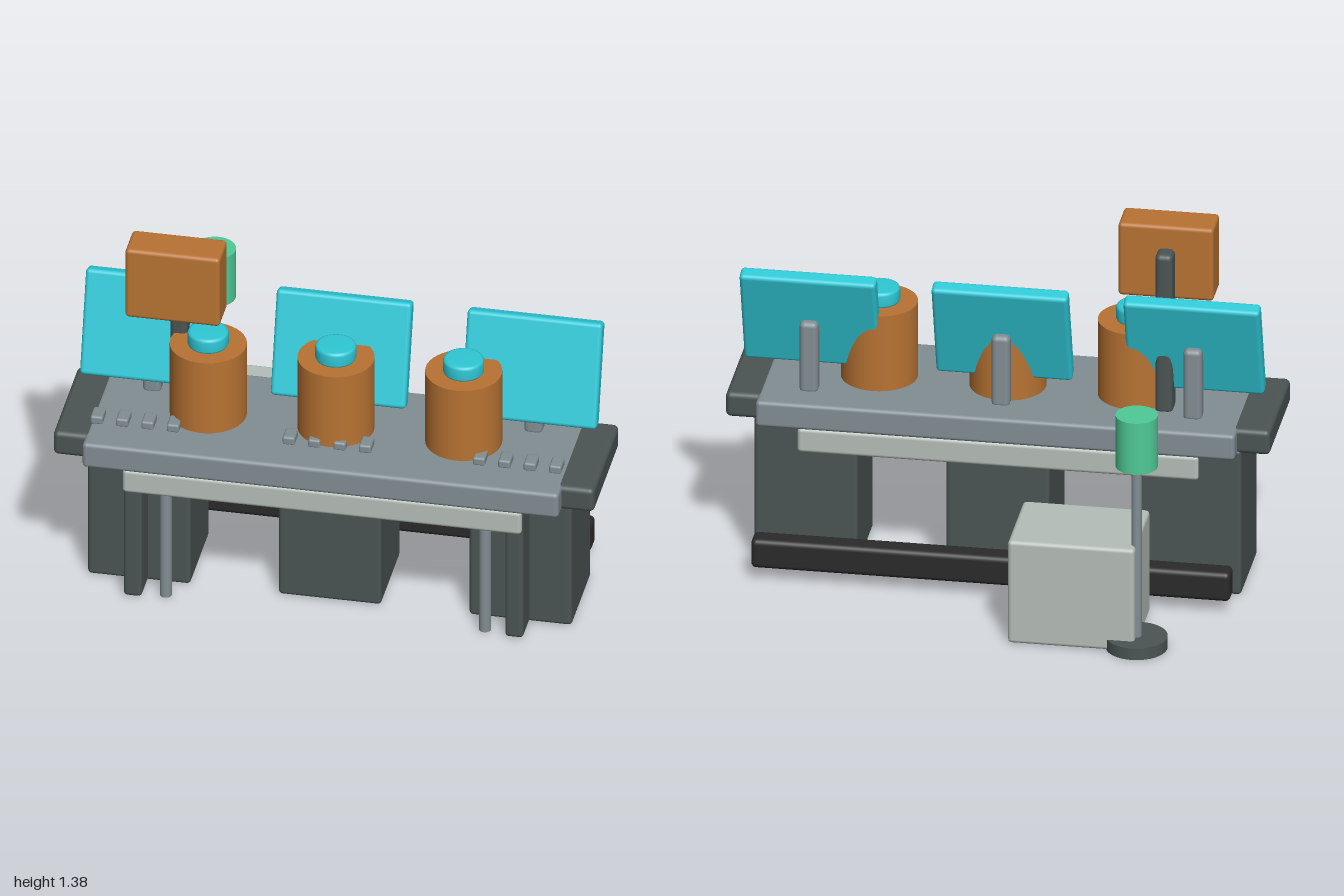
import * as THREE from 'three';
import { RoundedBoxGeometry } from 'three/addons/geometries/RoundedBoxGeometry.js';

const mat = (name, color) => Object.assign(new THREE.MeshStandardMaterial({ color }), { name });

export function createModel() {
  const model = new THREE.Group();
  model.name = 'controlDesk';

  const steel = mat('steel grey', 0x828e93);
  const dark = mat('dark grey', 0x4b5454);
  const pale = mat('pale grey', 0xb5beb8);
  const black = mat('black', 0x2a2a2b);
  const cyan = mat('cyan', 0x2fc8d6);
  const copper = mat('copper', 0xb87333);
  const green = mat('green', 0x4fca96);

  const add = (name, geometry, material, x, y, z, parent = model) => {
    const mesh = new THREE.Mesh(geometry, material);
    mesh.name = name;
    mesh.position.set(x, y, z);
    parent.add(mesh);
    return mesh;
  };
  // Rounded box given by its [min, max] range on each axis
  const box = (name, material, [x0, x1], [y0, y1], [z0, z1], r = 0.015) =>
    add(name, new RoundedBoxGeometry(x1 - x0, y1 - y0, z1 - z0, 3, r), material,
      (x0 + x1) / 2, (y0 + y1) / 2, (z0 + z1) / 2);
  // Upright cylinder
  const post = (name, material, r, x, z, y0, y1) =>
    add(name, new THREE.CylinderGeometry(r, r, y1 - y0, 40), material, x, (y0 + y1) / 2, z);
  // Upright cylinder with softened rims
  const puck = (name, material, r, x, z, y0, y1, b = 0.012) => {
    const h = y1 - y0;
    const profile = [[0, 0], [r - b, 0], [r - b * 0.3, b * 0.3], [r, b], [r, h - b],
      [r - b * 0.3, h - b * 0.3], [r - b, h], [0, h]].map(p => new THREE.Vector2(...p));
    return add(name, new THREE.LatheGeometry(profile, 40), material, x, y0, z);
  };

  // Desk top and its two end wings
  box('deskTop', steel, [-0.88, 0.88], [0.57, 0.672], [-0.03, 0.555]);
  for (const s of [-1, 1]) {
    const [a, b] = [0.6 * s, 1.0 * s].sort((p, q) => p - q);
    box('deskWing', dark, [a, b], [0.572, 0.67], [0.03, 0.495], 0.02);
  }
  box('apron', pale, [-0.74, 0.735], [0.455, 0.552], [0.02, 0.515]);

  // Pedestals, with side panels and slim legs at the ends
  for (const x of [-0.705, 0, 0.705])
    box('pedestal', dark, [x - 0.19, x + 0.19], [0.004, 0.585], [0.03, 0.38]);
  for (const s of [-1, 1]) {
    box('sidePanel', dark, [0.705 * s - 0.034, 0.705 * s + 0.034], [0.004, 0.585], [0.1, 0.5]);
    post('frontLeg', steel, 0.022, 0.59 * s, 0.455, 0, 0.58);
  }

  // Tilted screens on posts
  for (const x of [-0.705, 0, 0.705]) {
    box('screenPost', steel, [x - 0.034, x + 0.034], [0.66, 0.945], [0.085, 0.155], 0.02);
    const screen = add('screen', new RoundedBoxGeometry(0.5, 0.4, 0.06, 3, 0.015), cyan, x, 0.943, 0.147);
    screen.rotation.x = -0.295;
  }

  // Copper drums with cyan caps
  for (const x of [-0.472, 0, 0.472]) {
    post('drum', copper, 0.14, x, 0.262, 0.675, 0.975);
    puck('drumCap', cyan, 0.075, x, 0.265, 0.97, 1.032);
  }

  // Three rows of four keys
  for (const row of [-0.715, -0.005, 0.698])
    for (let i = 0; i < 4; i++) {
      const x = row + (i - 1.5) * 0.094;
      box('key', steel, [x - 0.023, x + 0.023], [0.668, 0.702], [0.34, 0.412], 0.009);
    }

  // Raised box on its mast
  box('mast', dark, [-0.625, -0.56], [0.66, 1.297], [0.13, 0.22], 0.02);
  box('raisedBox', copper, [-0.765, -0.415], [1.095, 1.385], [0.195, 0.34]);

  // Rear bar
  box('rearBar', black, [-0.88, 0.88], [0.05, 0.165], [-0.133, -0.045], 0.02);

  // Crate with a raised cross
  box('crate', pale, [-0.59, -0.125], [0.003, 0.412], [-0.5, -0.148]);
  box('crossUpright', green, [-0.381, -0.329], [0.138, 0.34], [-0.155, -0.136], 0.006);
  box('crossArm', green, [-0.45, -0.26], [0.214, 0.266], [-0.155, -0.13], 0.006);

  // Beacon behind the crate
  post('beaconBase', dark, 0.113, -0.59, -0.445, 0, 0.046);
  post('beaconPole', steel, 0.019, -0.59, -0.445, 0.04, 0.75);
  post('beacon', green, 0.077, -0.59, -0.44, 0.725, 0.93);

  return model;
}
